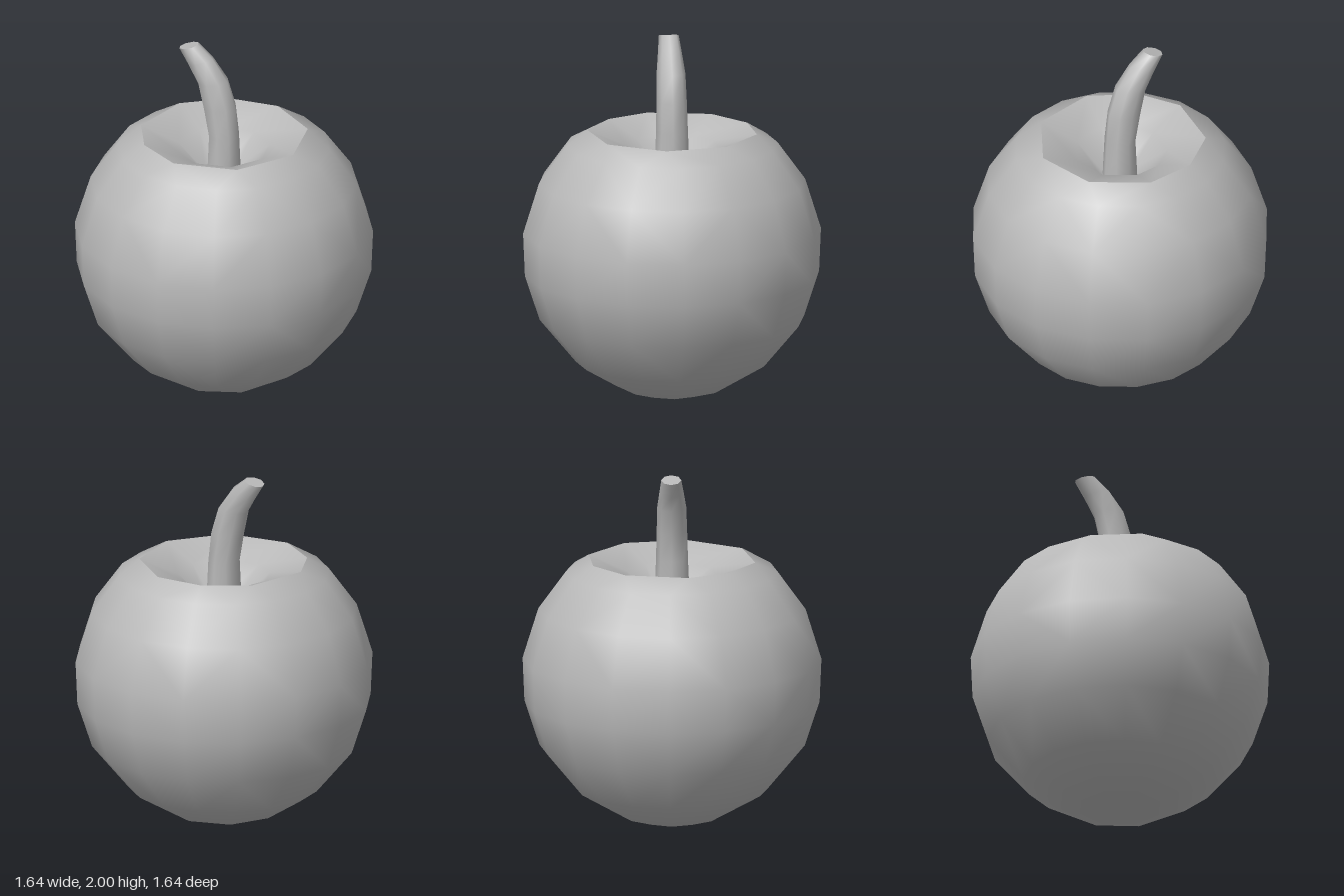
import * as THREE from 'three';
import { ConvexGeometry } from 'three/addons/geometries/ConvexGeometry.js';

// Smooth skin over a list of rings (arrays of Vector3 running from +x to +z)
function loft(rings) {
  const n = rings[0].length;
  const index = [];
  for (let i = 0; i < rings.length - 1; i++) {
    for (let j = 0; j < n; j++) {
      const k = (j + 1) % n;
      const a = i * n + j, b = a + n, c = i * n + k, d = c + n;
      index.push(a, b, c, c, b, d);
    }
  }
  const geometry = new THREE.BufferGeometry().setFromPoints(rings.flat());
  geometry.setIndex(index);
  geometry.computeVertexNormals();
  return geometry;
}

export function createModel() {
  const group = new THREE.Group();
  const grey = new THREE.MeshStandardMaterial({ color: 0xb8b8b8 });
  grey.name = 'plain grey';
  const add = (name, geometry) => {
    const mesh = new THREE.Mesh(geometry, grey);
    mesh.name = name;
    group.add(mesh);
  };

  // Uneven nine-sided rim of the hollow: x, z
  const rimY = 1.49;
  const rim = [
    [0.46, 0.07], [0.27, 0.38], [-0.08, 0.46], [-0.33, 0.32], [-0.46, 0.1],
    [-0.4, -0.25], [-0.18, -0.43], [0.1, -0.46], [0.38, -0.27],
  ].map(([x, z]) => new THREE.Vector3(x, rimY, z));

  // Body: faceted ball with smooth shading, open at the rim. Rings: y, radius, sides
  const points = [new THREE.Vector3(0, 0, 0), ...rim];
  const bodyRings = [
    [0.015, 0.16, 8], [0.06, 0.31, 8], [0.2, 0.53, 16], [0.44, 0.73, 16],
    [0.69, 0.812, 16], [0.93, 0.822, 16], [1.21, 0.735, 16], [1.42, 0.582, 16],
  ];
  for (const [y, r, sides] of bodyRings) {
    for (let i = 0; i < sides; i++) {
      const t = (i / sides) * Math.PI * 2;
      points.push(new THREE.Vector3(r * Math.cos(t), y, r * Math.sin(t)));
    }
  }
  const hull = new ConvexGeometry(points).getAttribute('position');
  const position = [], normal = [];
  const v = new THREE.Vector3();
  for (let i = 0; i < hull.count; i += 3) {
    const lowest = Math.min(hull.getY(i), hull.getY(i + 1), hull.getY(i + 2));
    if (lowest > rimY - 0.005) continue; // leave the top open
    for (let j = i; j < i + 3; j++) {
      v.fromBufferAttribute(hull, j);
      position.push(v.x, v.y, v.z);
      v.y -= 0.825;
      v.normalize();
      normal.push(v.x, v.y, v.z);
    }
  }
  const body = new THREE.BufferGeometry();
  body.setAttribute('position', new THREE.Float32BufferAttribute(position, 3));
  body.setAttribute('normal', new THREE.Float32BufferAttribute(normal, 3));
  add('body', body);

  // Hollow round the stem, steeper towards the middle: scale of the rim, depth
  const hollowSteps = [[1, 0], [0.55, 0.08], [0.22, 0.24], [0, 0.29]];
  add('hollow', loft(hollowSteps.map(([s, depth]) =>
    rim.map((p) => new THREE.Vector3(p.x * s, rimY - depth, p.z * s)))));

  // Bent stem: left x, left y, right x, right y, half depth of each section
  const stemRings = [
    [-0.1, 1.2, 0.1, 1.2, 0.1],
    [-0.086, 1.49, 0.086, 1.49, 0.088],
    [-0.122, 1.65, 0.07, 1.66, 0.084],
    [-0.155, 1.79, 0.02, 1.81, 0.08],
    [-0.212, 1.88, -0.07, 1.93, 0.066],
    [-0.27, 1.97, -0.16, 2.0, 0.055],
  ].map(([lx, ly, rx, ry, depth]) =>
    Array.from({ length: 8 }, (_, i) => {
      const t = (i / 8) * Math.PI * 2;
      const c = Math.cos(t) / 2;
      return new THREE.Vector3(
        (lx + rx) / 2 + (rx - lx) * c,
        (ly + ry) / 2 + (ry - ly) * c,
        depth * Math.sin(t));
    }));
  add('stem', loft(stemRings));

  // Flat cut end of the stem
  const tip = stemRings[stemRings.length - 1];
  const centre = tip[0].clone().lerp(tip[4], 0.5);
  add('stemEnd', loft([tip, tip.map(() => centre.clone())]));

  return group;
}
